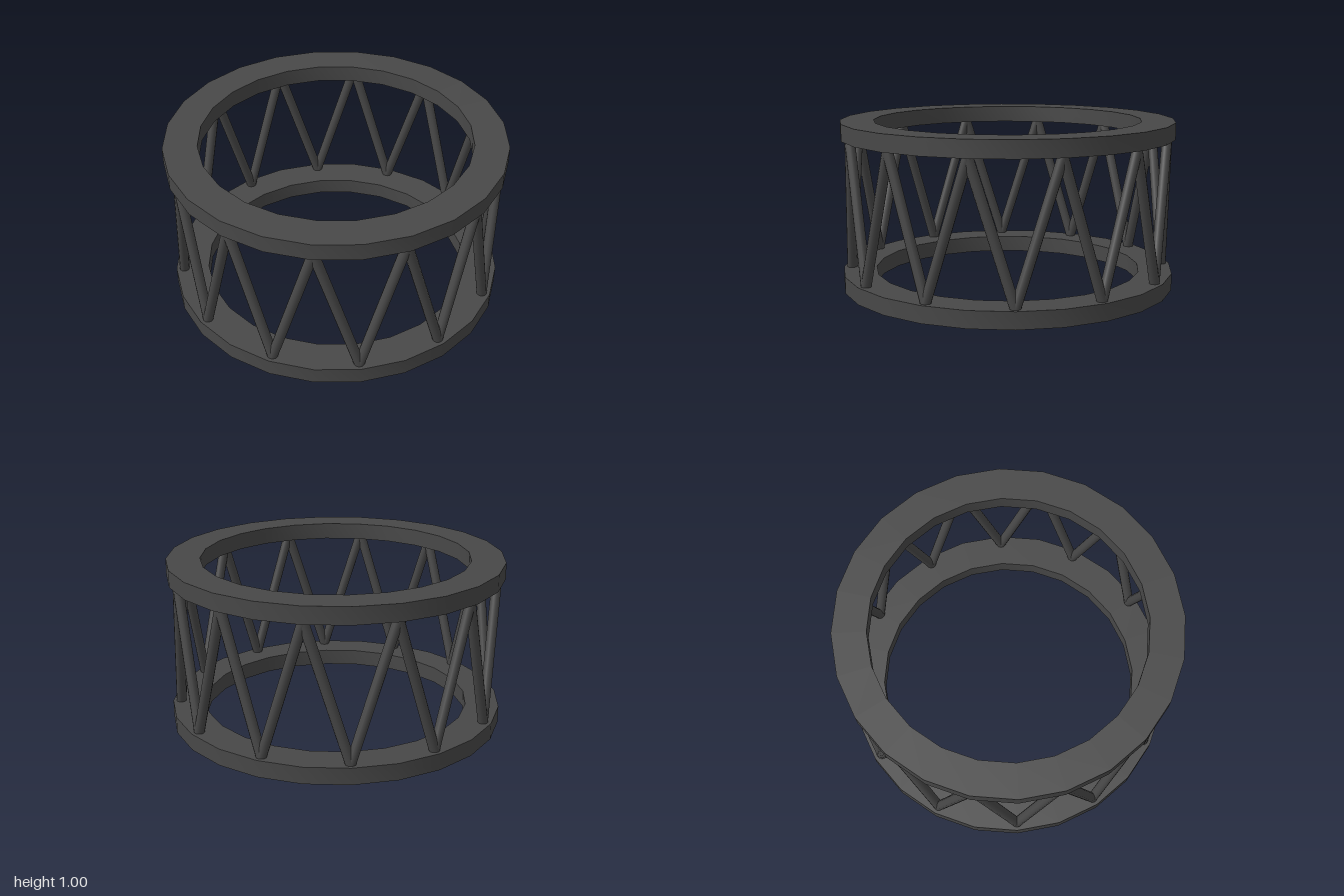
import * as THREE from 'three';
import { toCreasedNormals } from 'three/addons/utils/BufferGeometryUtils.js';

const OUTER = 1, INNER = 0.8, THICK = 0.1, HEIGHT = 1;
const NODES = 24, NODE_RADIUS = 0.95, STRUT_RADIUS = 0.03;

export function createModel() {
  const model = new THREE.Group();
  model.name = 'ringTruss';
  const darkMetal = new THREE.MeshStandardMaterial({ color: 0x484848 });
  darkMetal.name = 'darkMetal';

  // Flat 24-sided rings with a rectangular section
  const profile = [[INNER, 0], [OUTER, 0], [OUTER, THICK], [INNER, THICK], [INNER, 0]]
    .map(([r, y]) => new THREE.Vector2(r, y));
  const ringGeometry = toCreasedNormals(new THREE.LatheGeometry(profile, 24), 0.5);
  for (const [name, y] of [['bottomRing', 0], ['topRing', HEIGHT - THICK]]) {
    const ring = new THREE.Mesh(ringGeometry, darkMetal);
    ring.name = name;
    ring.position.y = y;
    model.add(ring);
  }

  // Zigzag struts: even nodes on the bottom ring, odd nodes under the top ring
  const node = (i) => {
    const a = (i / NODES) * Math.PI * 2;
    const y = i % 2 === 0 ? THICK : HEIGHT - THICK;
    return new THREE.Vector3(Math.sin(a) * NODE_RADIUS, y, Math.cos(a) * NODE_RADIUS);
  };
  const struts = new THREE.Group();
  struts.name = 'struts';
  const length = node(0).distanceTo(node(1));
  const strutGeometry = new THREE.CylinderGeometry(STRUT_RADIUS, STRUT_RADIUS, length, 12);
  const up = new THREE.Vector3(0, 1, 0);
  for (let i = 0; i < NODES; i++) {
    const a = node(i), b = node(i + 1);
    const strut = new THREE.Mesh(strutGeometry, darkMetal);
    strut.name = 'strut';
    strut.position.lerpVectors(a, b, 0.5);
    strut.quaternion.setFromUnitVectors(up, b.sub(a).normalize().multiplyScalar(i % 2 === 0 ? 1 : -1));
    struts.add(strut);
  }
  model.add(struts);
  return model;
}
